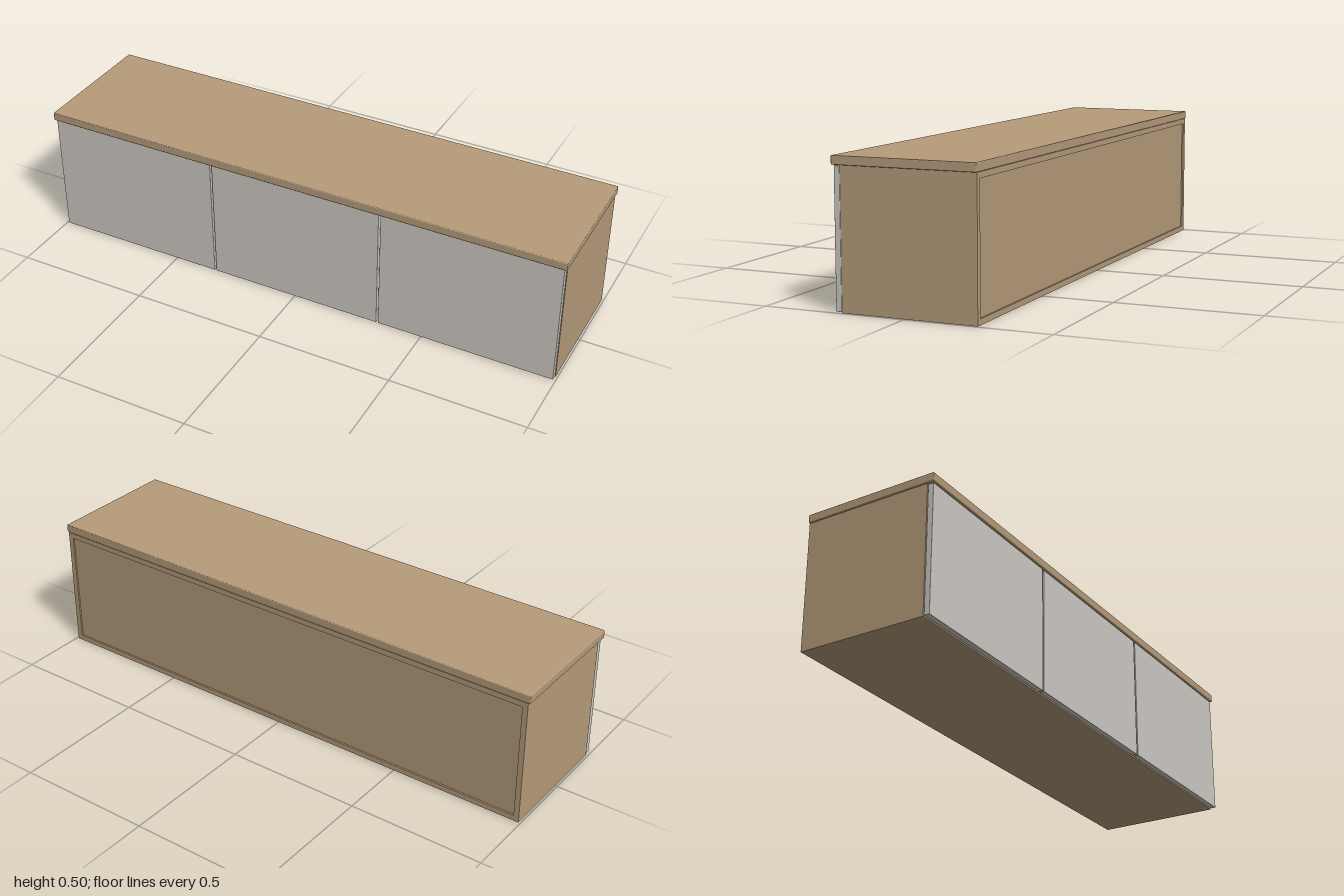
import * as THREE from 'three';
import { RoundedBoxGeometry } from 'three/addons/geometries/RoundedBoxGeometry.js';

const wood = new THREE.MeshStandardMaterial({ color: 0xb59b7a });
const paint = new THREE.MeshStandardMaterial({ color: 0xcdcac4 });

export function createModel() {
  const group = new THREE.Group();

  // Box given by its lower and upper bounds; a bevel softens its edges
  function panel(name, [x0, y0, z0], [x1, y1, z1], material = wood, bevel = 0) {
    const size = [x1 - x0, y1 - y0, z1 - z0];
    const geometry = bevel
      ? new RoundedBoxGeometry(...size, 2, bevel)
      : new THREE.BoxGeometry(...size);
    const mesh = new THREE.Mesh(geometry, material);
    mesh.name = name;
    mesh.position.set((x0 + x1) / 2, (y0 + y1) / 2, (z0 + z1) / 2);
    group.add(mesh);
  }

  const W = 0.993; // half width of the carcass
  const H = 0.468; // carcass height
  const T = 0.02; // board thickness
  const back = -0.25;
  const front = 0.222;
  const inset = 0.006; // recess of the back panel

  // Worktop with a slight overhang
  panel('top', [-1, H, back], [1, 0.498, 0.25], wood, 0.003);

  // Carcass
  panel('rightSide', [-W, 0, back], [-W + T, H, front]);
  panel('leftSide', [W - T, 0, back], [W, H, front]);
  panel('bottom', [-W + T, 0, back], [W - T, T, front]);
  panel('upperRail', [-W + T, H - T, back], [W - T, H, front]);
  panel('backPanel', [-W + T, T, back + inset], [W - T, H - T, back + inset + 0.01]);
  for (const x of [-0.33, 0.33]) {
    panel('divider', [x - T / 2, T, back + inset + 0.01], [x + T / 2, H - T, front]);
  }

  // Three doors separated by narrow gaps
  const gap = 0.007;
  const edge = 0.991;
  const width = (2 * edge - 2 * gap) / 3;
  for (let i = 0; i < 3; i++) {
    const x = -edge + i * (width + gap);
    panel('door', [x, 0.003, 0.224], [x + width, 0.465, 0.244], paint, 0.001);
  }

  return group;
}
